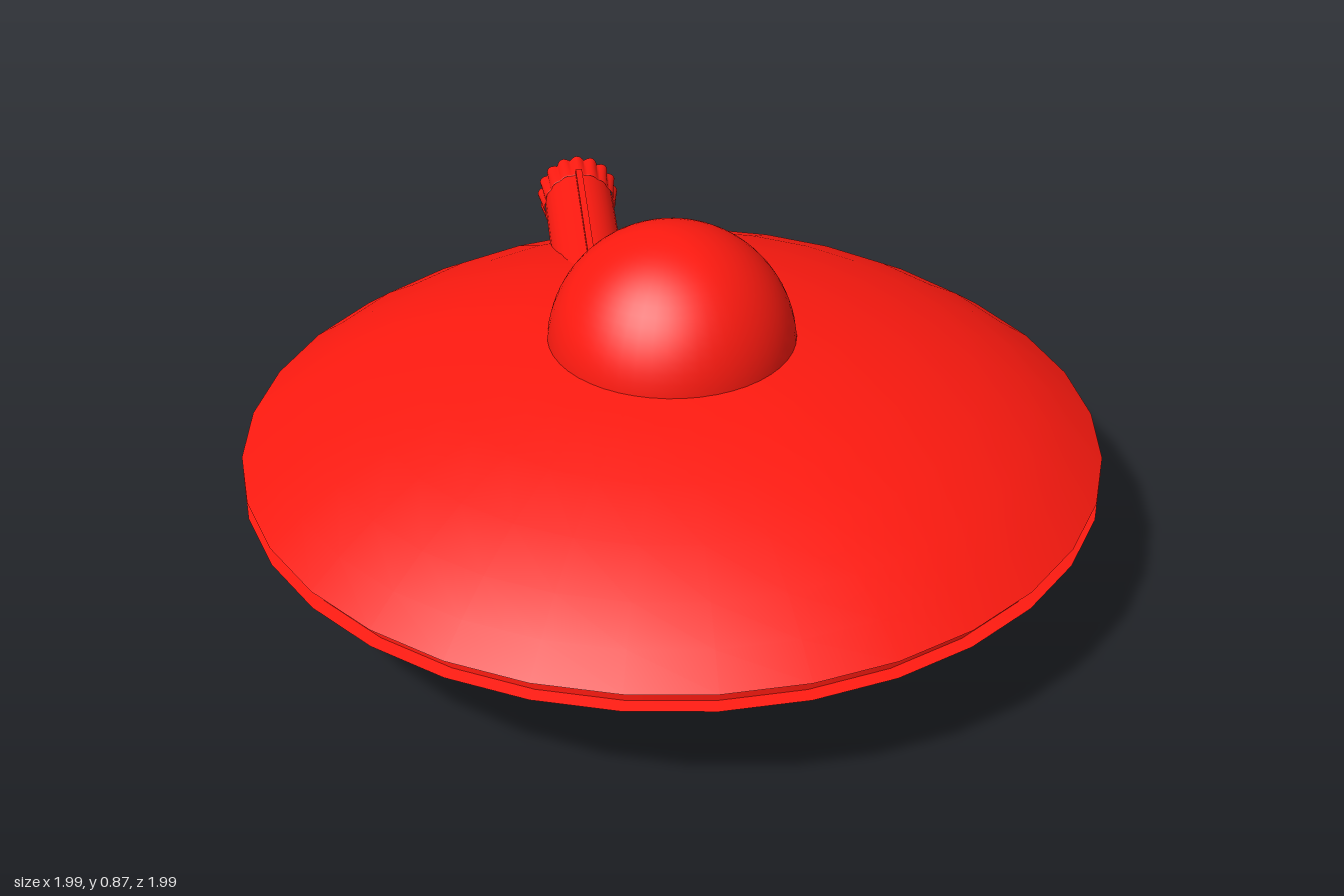
import * as THREE from 'three';

const material = new THREE.MeshStandardMaterial({ color: 0xff1a10 });

function add(parent, name, geometry) {
  const mesh = new THREE.Mesh(geometry, material);
  mesh.name = name;
  parent.add(mesh);
  return mesh;
}

// Surface of revolution from [radius, height] pairs
function lathe(points, segments = 32) {
  return new THREE.LatheGeometry(points.map(([r, y]) => new THREE.Vector2(r, y)), segments);
}

export function createModel() {
  const model = new THREE.Group();
  model.name = 'flyingSaucer';

  // Saucer: one shallow bowl curve, used for the underside and mirrored for the top
  const bowl = [[0, 0], [0.2, 0.01], [0.385, 0.034], [0.555, 0.073], [0.707, 0.124],
    [0.83, 0.182], [0.92, 0.237], [0.996, 0.293]];
  const saucer = new THREE.Group();
  saucer.name = 'saucer';
  model.add(saucer);
  add(saucer, 'lowerHull', lathe(bowl.map(([r, s]) => [r, s + 0.006])));
  add(saucer, 'upperHull', lathe(bowl.map(([r, s]) => [r, 0.635 - s]).reverse()));

  // Groove between the two hulls
  add(saucer, 'lowerLip', lathe([[0.996, 0.299], [0.965, 0.304]]));
  add(saucer, 'rimBand', lathe([[0.965, 0.304], [0.965, 0.338]]));
  add(saucer, 'upperLip', lathe([[0.965, 0.338], [0.996, 0.342]]));

  // Cockpit dome
  const dome = add(model, 'dome', new THREE.SphereGeometry(0.286, 48, 20, 0, Math.PI * 2, 0, Math.PI * 0.55));
  dome.position.y = 0.591;

  // Thruster half sunk in the rear deck; its local +y points backwards
  const thruster = new THREE.Group();
  thruster.name = 'thruster';
  thruster.position.set(-0.155, 0.508, 0);
  thruster.rotation.x = -Math.PI / 2;
  model.add(thruster);
  add(thruster, 'thrusterTube', lathe([[0, 0.32], [0.087, 0.32]]));
  add(thruster, 'thrusterBody', lathe([[0.087, 0.32], [0.087, 0.88]]));

  // Fluted nozzle collar: lobes deepen towards the open end
  const collar = lathe([[0.086, 0.868], [0.089, 0.87], [0.09, 0.905], [0.092, 0.945]], 128);
  const p = collar.attributes.position;
  for (let i = 0; i < p.count; i++) {
    const angle = Math.atan2(p.getX(i), p.getZ(i));
    const t = (p.getY(i) - 0.868) / 0.077;
    const k = 1 + (0.04 + 0.08 * t) * Math.abs(Math.cos(angle * 8));
    p.setX(i, p.getX(i) * k);
    p.setZ(i, p.getZ(i) * k);
  }
  collar.computeVertexNormals();
  add(thruster, 'nozzleCollar', collar);

  // Scalloped end face between the lobes and the bore
  const face = new THREE.Shape();
  for (let i = 0; i < 128; i++) {
    const a = (i / 128) * Math.PI * 2;
    const r = 0.092 * (1 + 0.12 * Math.abs(Math.cos(a * 8)));
    if (i === 0) face.moveTo(r, 0);
    else face.lineTo(r * Math.cos(a), r * Math.sin(a));
  }
  face.closePath();
  face.holes.push(new THREE.Path().absarc(0, 0, 0.088, 0, Math.PI * 2, true));
  const end = new THREE.ShapeGeometry(face, 32);
  end.rotateX(-Math.PI / 2);
  add(thruster, 'nozzleRim', end).position.y = 0.945;

  // Hollow bowl inside the nozzle
  add(thruster, 'nozzleBore', lathe([[0.088, 0.945], [0.082, 0.91], [0.07, 0.88], [0.045, 0.855], [0, 0.845]]));

  // Slim ridge along the top of the thruster
  const fin = add(model, 'thrusterFin', new THREE.BoxGeometry(0.016, 0.06, 0.57));
  fin.position.set(-0.155, 0.581, -0.585);

  return model;
}
